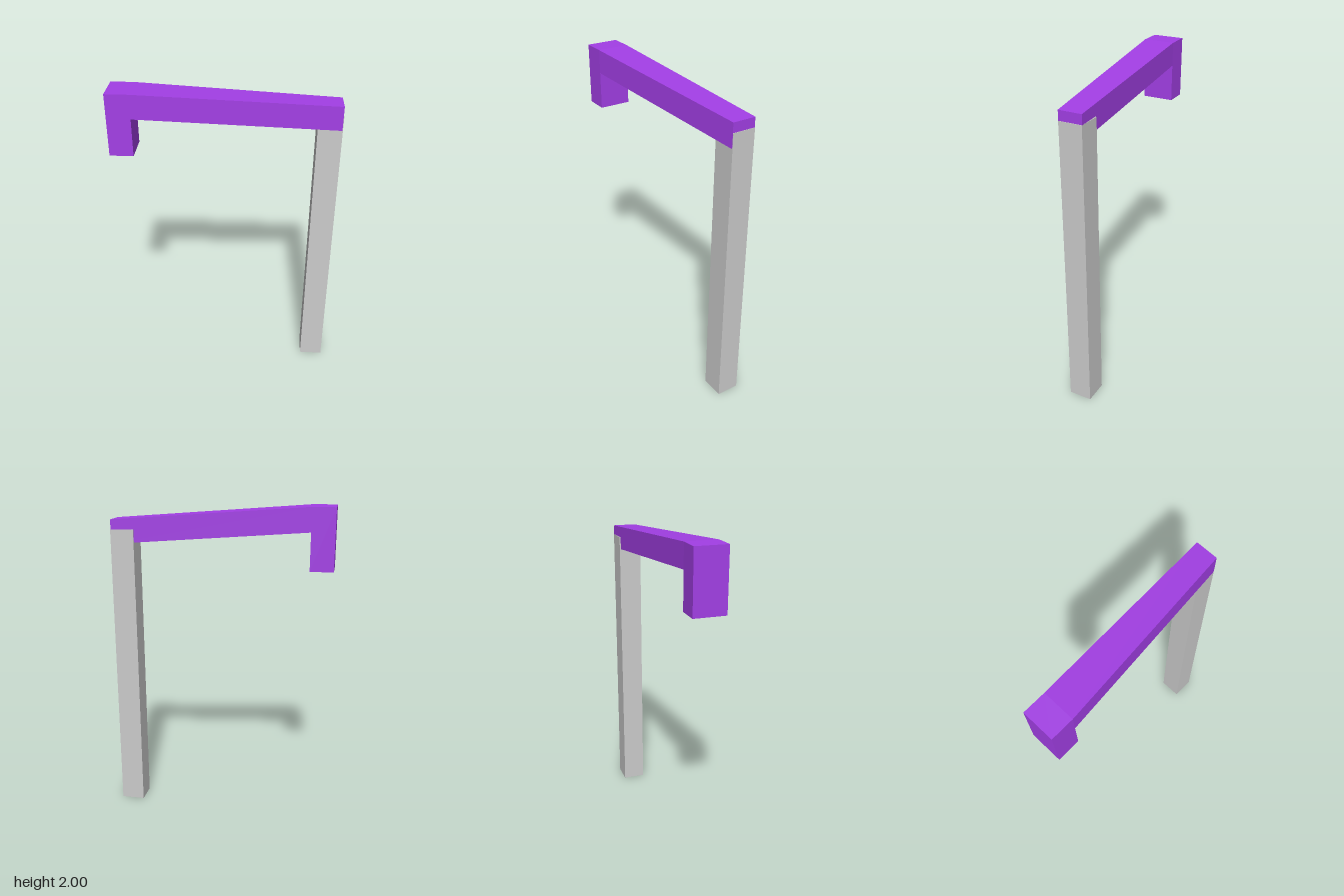
import * as THREE from 'three';

const grey = new THREE.MeshStandardMaterial({ color: 0xcccccc, flatShading: true });
const purple = new THREE.MeshStandardMaterial({ color: 0xa33fe6, flatShading: true });

// Four-sided beam along x between two end sections { x, y: [low, high], z: [back, front] }
function beam(name, left, right, material) {
  const geometry = new THREE.BoxGeometry(1, 1, 1);
  const p = geometry.attributes.position;
  for (let i = 0; i < p.count; i++) {
    const end = p.getX(i) < 0 ? left : right;
    p.setXYZ(i, end.x, end.y[p.getY(i) > 0 ? 1 : 0], end.z[p.getZ(i) > 0 ? 1 : 0]);
  }
  geometry.computeVertexNormals();
  const mesh = new THREE.Mesh(geometry, material);
  mesh.name = name;
  return mesh;
}

export function createModel() {
  const group = new THREE.Group();
  group.name = 'postWithArm';

  // Upright post
  const post = { y: [0, 1.85], z: [-0.132, 0.013] };
  group.add(beam('post', { x: 0.54, ...post }, { x: 0.688, ...post }, grey));

  // Sloping arm, narrowing and angling back toward the post
  group.add(beam('arm',
    { x: -0.545, y: [1.85, 2], z: [-0.07, 0.132] },
    { x: 0.685, y: [1.76, 1.91], z: [-0.132, 0.014] }, purple));

  // Head hanging down from the free end of the arm
  const head = { y: [1.615, 2], z: [-0.07, 0.132] };
  group.add(beam('head', { x: -0.69, ...head }, { x: -0.545, ...head }, purple));

  return group;
}
